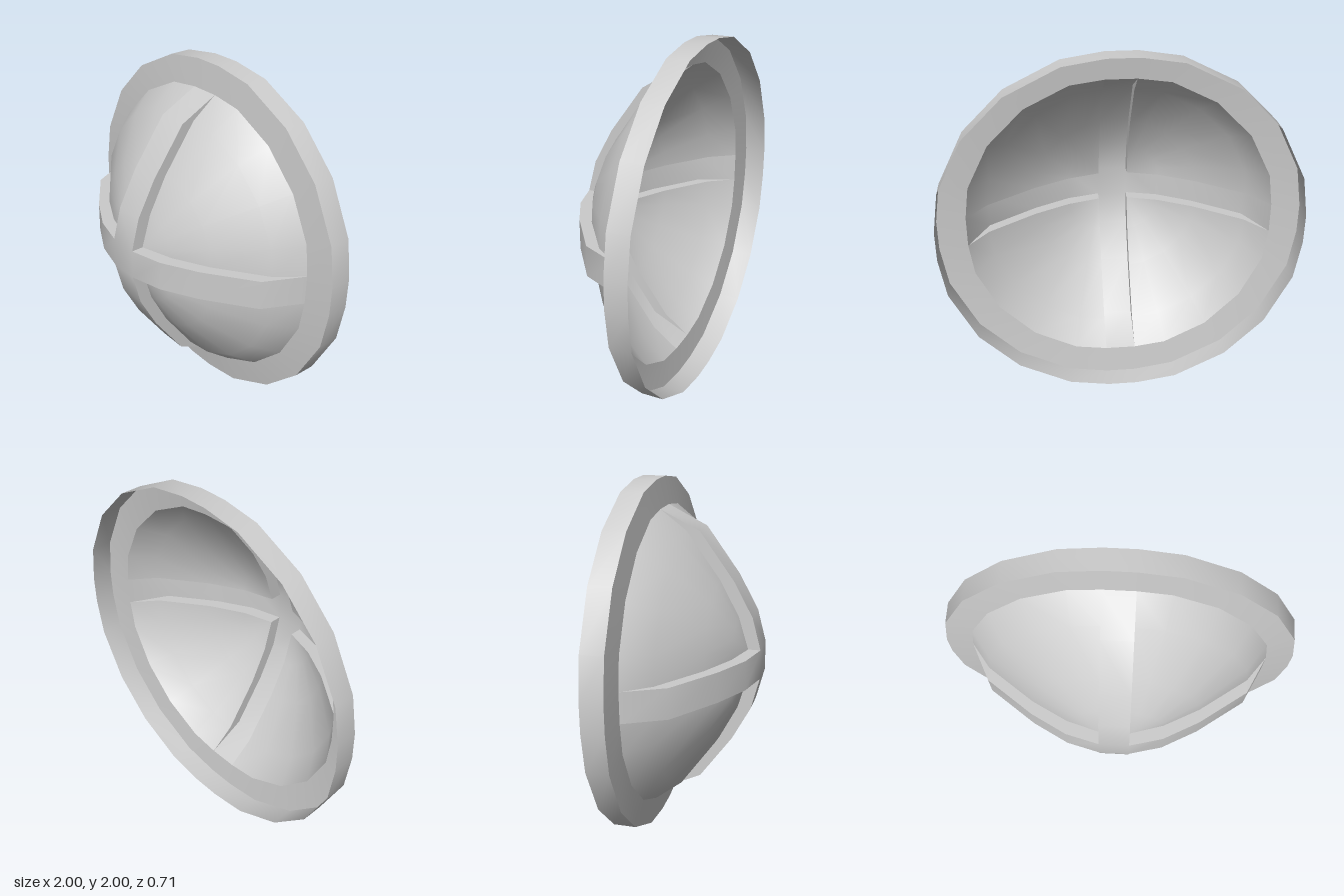
import * as THREE from 'three';
import { mergeGeometries, mergeVertices } from 'three/addons/utils/BufferGeometryUtils.js';

const W = 0.085;                       // half width of the cross bands
const EDGE_Z = -0.21;                  // where the dome meets the rim
// distance from centre, band height, panel height
const PROFILE = [
  [W, 0.355, 0.285], [0.27, 0.307, 0.23], [0.47, 0.2, 0.125],
  [0.735, 0.01, -0.065], [0.845, EDGE_Z, EDGE_Z],
];
// quarter outlines, counter-clockwise from +x to +y
const INNER = [[0.845, W], [0.82, 0.265], [0.7, 0.505], [0.505, 0.7], [0.265, 0.82], [W, 0.845]];
const OUTER = [[1, W], [0.965, 0.31], [0.82, 0.6], [0.6, 0.82], [0.31, 0.965], [W, 1]];

const material = new THREE.MeshStandardMaterial({ color: 0xcccccc, side: THREE.DoubleSide });

// Surface through rows of points: rows run outward, columns counter-clockwise
function surface(rows) {
  const n = rows[0].length, index = [];
  for (let i = 0; i < rows.length - 1; i++) {
    for (let j = 0; j < n - 1; j++) {
      const a = i * n + j, b = a + n;
      index.push(a, b, b + 1, a, b + 1, a + 1);
    }
  }
  const g = new THREE.BufferGeometry();
  g.setAttribute('position', new THREE.Float32BufferAttribute(rows.flat(2), 3));
  g.setIndex(index);
  return g;
}

// Join pieces and smooth across their shared points
function smooth(pieces) {
  const g = mergeVertices(mergeGeometries(pieces), 1e-4);
  g.computeVertexNormals();
  return g;
}

function addMesh(group, name, geometry) {
  const mesh = new THREE.Mesh(geometry, material);
  mesh.name = name;
  group.add(mesh);
  return mesh;
}

// Full closed loop from a quarter outline
function loop(quarter, z) {
  const points = [];
  for (let k = 0; k < 4; k++) {
    for (const [x, y] of quarter) {
      const [c, s] = [[1, 0], [0, 1], [-1, 0], [0, -1]][k];
      points.push([x * c - y * s, x * s + y * c, z]);
    }
  }
  points.push(points[0]);
  return points;
}

export function createModel() {
  const group = new THREE.Group();
  group.name = 'shield';

  // Rim: front plate and open-backed skirt
  addMesh(group, 'rimPlate', smooth([surface([loop(INNER, EDGE_Z), loop(OUTER, -0.23)])]));
  addMesh(group, 'rimSkirt', smooth([surface([loop(OUTER, -0.23), loop(OUTER, -0.355)])]));

  // Raised cross: four arms and a centre square
  const arm = surface(PROFILE.map(([r, z]) => [[r, -W, z], [r, W, z]]));
  const centre = surface([[[-W, -W, 0.355], [-W, W, 0.355]], [[W, -W, 0.355], [W, W, 0.355]]]);
  const arms = [0, 1, 2, 3].map(k => arm.clone().rotateZ(k * Math.PI / 2));
  addMesh(group, 'crossBand', smooth([centre, ...arms]));

  // Curved quarter panel, fanning out from the inner corner
  const panel = smooth([surface(PROFILE.map(([r, , z]) => {
    const t = (r - W) / (0.845 - W);
    return INNER.map(([x, y]) => [W + (x - W) * t, W + (y - W) * t, z]);
  }))]);

  // Steps between band and panels
  const walls = [
    smooth([surface(PROFILE.map(([r, z, p]) => [[r, W, z], [r, W, p]]))]),
    smooth([surface(PROFILE.map(([r, z, p]) => [[r, -W, p], [r, -W, z]]))]),
  ];
  for (let k = 0; k < 4; k++) {
    const angle = k * Math.PI / 2;
    addMesh(group, 'panel' + (k + 1), panel).rotation.z = angle;
    walls.forEach((wall, i) => {
      addMesh(group, 'bandWall' + (2 * k + i + 1), wall).rotation.z = angle;
    });
  }

  // Stand on the ground
  group.children.forEach(mesh => { mesh.position.y = 1; });
  return group;
}
